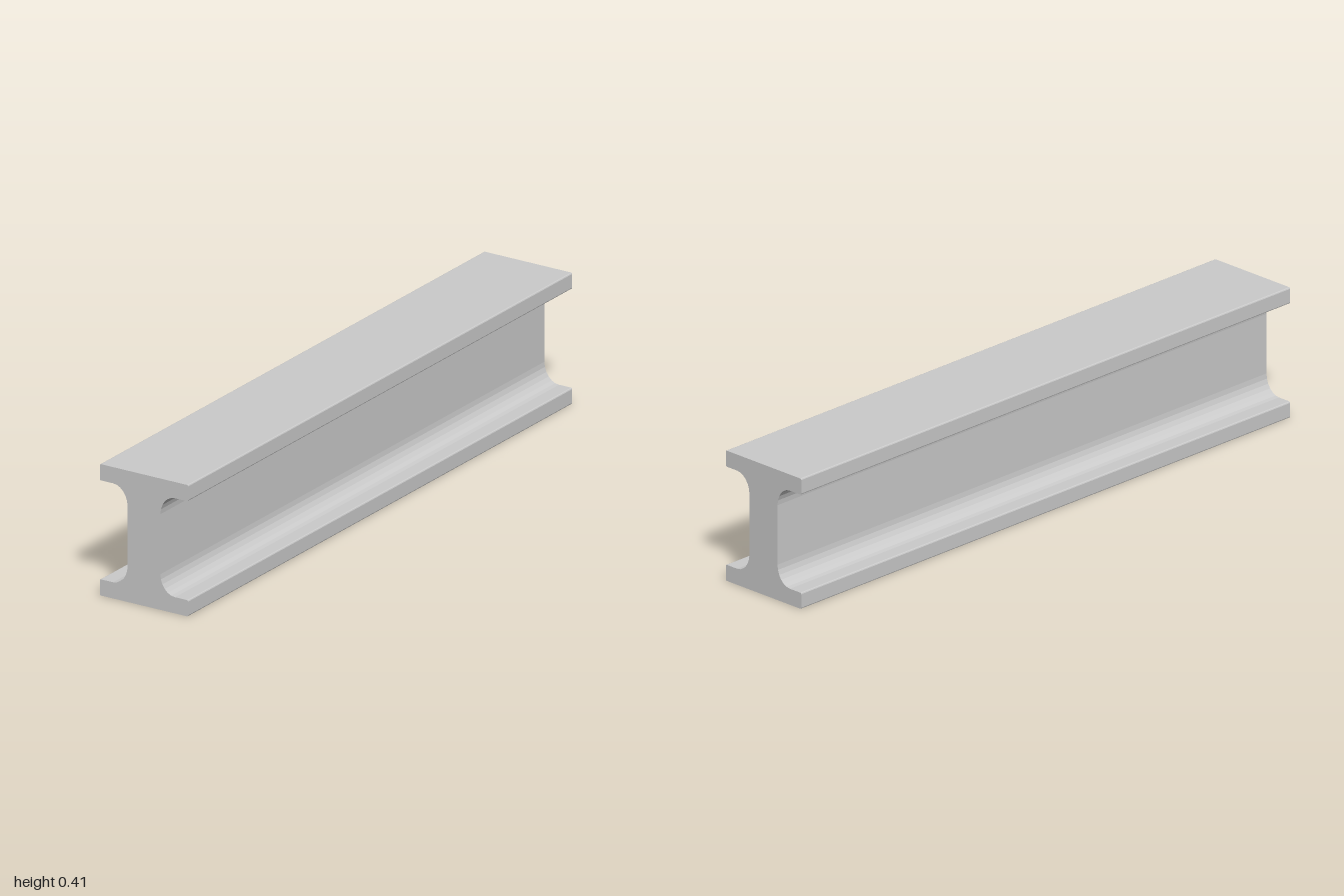
import * as THREE from 'three';

const HEIGHT = 0.405, HALF_WIDTH = 0.152, LENGTH = 2;
const FLANGE = 0.05, HALF_WEB = 0.0565;
const FILLET_X = 0.05, FILLET_Y = 0.06, CORNER = 0.004;

// One quarter of the section, from the bottom middle to the web
function quarterProfile() {
  const pts = [
    [HALF_WIDTH - CORNER, 0], [HALF_WIDTH - CORNER * 0.3, CORNER * 0.3], [HALF_WIDTH, CORNER],
    [HALF_WIDTH, FLANGE - CORNER], [HALF_WIDTH - CORNER * 0.3, FLANGE - CORNER * 0.3],
    [HALF_WIDTH - CORNER, FLANGE],
  ];
  const steps = 6;
  for (let i = 0; i <= steps; i++) {
    const a = (i / steps) * Math.PI / 2;
    pts.push([
      HALF_WEB + FILLET_X * (1 - Math.sin(a)),
      FLANGE + FILLET_Y * (1 - Math.cos(a)),
    ]);
  }
  return pts;
}

export function createModel() {
  const group = new THREE.Group();
  group.name = 'steelBeam';

  // Mirror the quarter upward, then across, into a closed I section
  const quarter = quarterProfile();
  const right = [...quarter, ...quarter.map(([x, y]) => [x, HEIGHT - y]).reverse()];
  const outline = [...right, ...right.map(([x, y]) => [-x, y]).reverse()];
  const section = new THREE.Shape(outline.map(([x, y]) => new THREE.Vector2(x, y)));

  const geometry = new THREE.ExtrudeGeometry(section, { depth: LENGTH, bevelEnabled: false });
  geometry.translate(0, 0, -LENGTH / 2);

  const beam = new THREE.Mesh(
    geometry,
    new THREE.MeshStandardMaterial({ color: 0xcccccc, flatShading: true }),
  );
  beam.name = 'iBeam';
  group.add(beam);
  return group;
}
